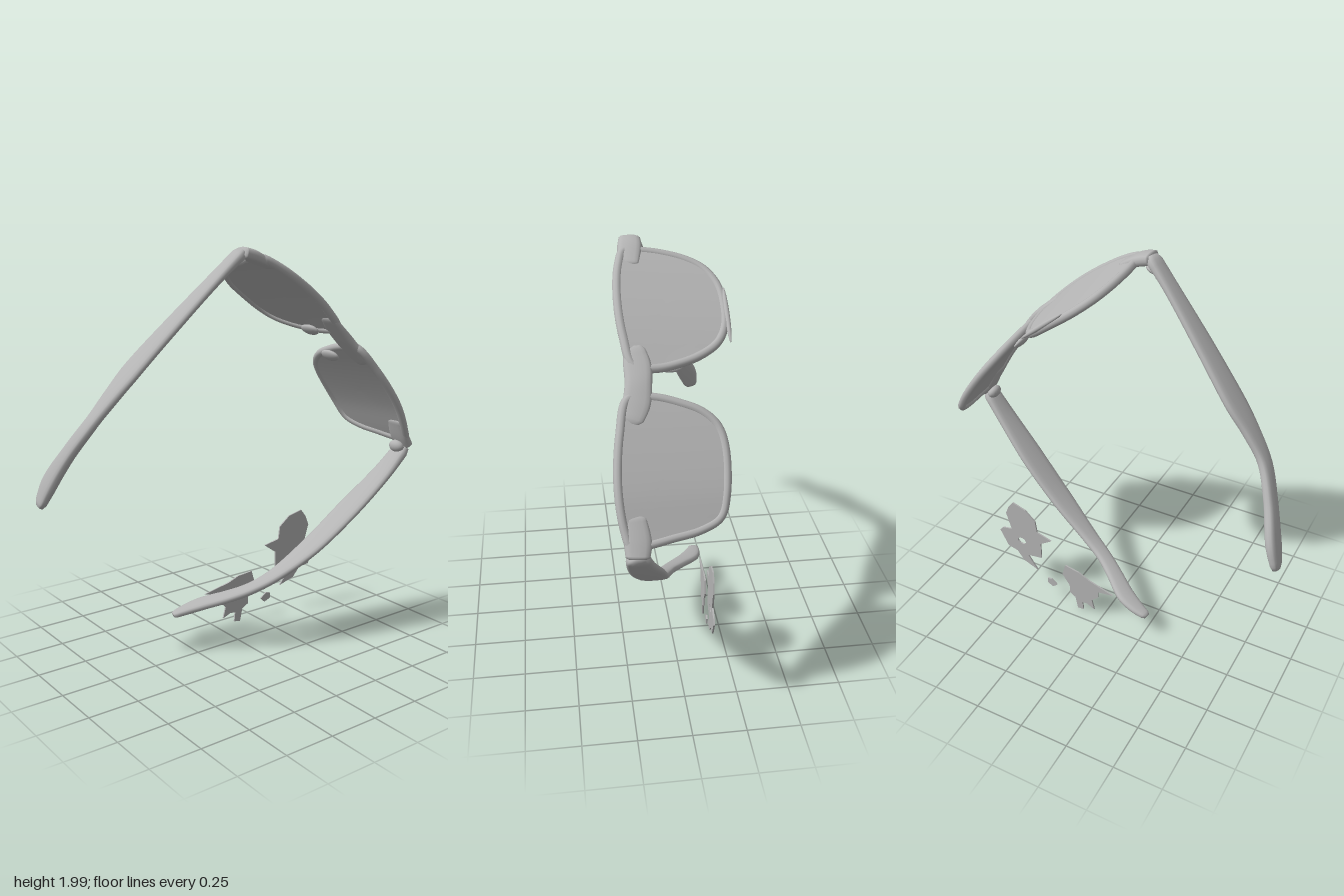
import * as THREE from 'three';

const V = (x, y, z = 0) => new THREE.Vector3(x, y, z);

export function createModel() {
  const group = new THREE.Group();
  const grey = new THREE.MeshStandardMaterial({ color: 0xb4b4b4, side: THREE.DoubleSide });
  grey.name = 'plain grey';

  const add = (name, geometry) => {
    const mesh = new THREE.Mesh(geometry, grey);
    mesh.name = name;
    group.add(mesh);
    return mesh;
  };

  // Brow line that the whole front of the spectacles wraps around
  const brow = new THREE.CatmullRomCurve3([
    V(-0.09, 1.985), V(0, 1.955), V(0.2, 1.83), V(0.37, 1.7), V(0.51, 1.565),
    V(0.66, 1.385), V(0.81, 1.175), V(0.89, 1.03), V(0.94, 0.945),
  ]);
  const browLength = brow.getLength();

  // Point on the front: s along the brow, z across it, off outward
  const onFront = (s, z, off = 0) => {
    const u = THREE.MathUtils.clamp(s / browLength, 0, 1);
    const p = brow.getPointAt(u);
    const t = brow.getTangentAt(u);
    const tilt = THREE.MathUtils.lerp(0.12, 0.07, THREE.MathUtils.smoothstep(s, 0.6, 0.9));
    const d = off - tilt * (0.29 - z);
    return V(p.x - t.y * d, p.y + t.x * d, z);
  };

  const grid = (pos, rows, cols) => {
    const index = [];
    for (let i = 0; i < rows - 1; i++) {
      for (let j = 0; j < cols; j++) {
        const k = (j + 1) % cols;
        const a = i * cols + j, b = i * cols + k, c = a + cols, d = b + cols;
        index.push(a, c, b, b, c, d);
      }
    }
    const g = new THREE.BufferGeometry();
    g.setAttribute('position', new THREE.Float32BufferAttribute(pos, 3));
    g.setIndex(index);
    g.computeVertexNormals();
    return g;
  };

  // Rounded bar through points [x, y, z, half width, half thickness]
  const bar = (name, pts, steps = 48, sides = 16) => {
    const path = new THREE.CatmullRomCurve3(pts.map((p) => V(p[0], p[1], p[2])));
    const size = new THREE.CatmullRomCurve3(pts.map((p) => V(p[3], p[4])));
    const pos = [];
    const round = (v) => Math.sign(v) * Math.pow(Math.abs(v), 0.7);
    for (let i = -1; i <= steps + 1; i++) {
      const u = THREE.MathUtils.clamp(i / steps, 0, 1);
      const capped = i < 0 || i > steps ? 0.001 : i === 0 || i === steps ? 0.75 : 1;
      const p = path.getPoint(u), t = path.getTangent(u), h = size.getPoint(u);
      const n = V(-t.y, t.x).normalize();
      const w = t.clone().cross(n);
      for (let j = 0; j < sides; j++) {
        const a = (j / sides) * Math.PI * 2;
        const q = p.clone()
          .addScaledVector(w, round(Math.cos(a)) * h.x * capped)
          .addScaledVector(n, round(Math.sin(a)) * h.y * capped);
        pos.push(q.x, q.y, q.z);
      }
    }
    return add(name, grid(pos, steps + 3, sides));
  };

  // Lens and rim from an outline of [s, z]
  const lens = (side, outline) => {
    const loop = new THREE.CatmullRomCurve3(outline.map(([s, z]) => V(s, z)), true);
    const edge = loop.getSpacedPoints(72).slice(0, 72);
    const mid = edge.reduce((m, p) => m.addScaledVector(p, 1 / 72), V(0, 0));
    const rim = new THREE.CatmullRomCurve3(edge.map((p) => onFront(p.x, p.y)), true);
    add(side + 'Rim', new THREE.TubeGeometry(rim, 120, 0.02, 10, true));
    for (const [face, off] of [['Front', 0.012], ['Back', -0.009]]) {
      const pos = [];
      for (let i = 0; i <= 8; i++) {
        const r = off > 0 ? Math.max(i / 8, 0.001) : Math.max(1 - i / 8, 0.001);
        for (const e of edge) {
          const q = onFront(mid.x + (e.x - mid.x) * r, mid.y + (e.y - mid.y) * r, off);
          pos.push(q.x, q.y, q.z);
        }
      }
      add(side + 'Lens' + face, grid(pos, 9, 72));
    }
  };
  lens('right', [
    [0.09, 0.1], [0.1, 0.02], [0.13, -0.08], [0.18, -0.16], [0.27, -0.215], [0.38, -0.23],
    [0.5, -0.22], [0.58, -0.18], [0.64, -0.1], [0.68, 0], [0.7, 0.1], [0.69, 0.19],
    [0.55, 0.225], [0.35, 0.235], [0.18, 0.215], [0.09, 0.18],
  ]);
  lens('left', [
    [0.83, 0.12], [0.86, 0.01], [0.9, -0.08], [0.96, -0.14], [1.05, -0.165], [1.26, -0.155],
    [1.35, -0.125], [1.395, -0.04], [1.42, 0.08], [1.44, 0.18], [1.45, 0.25],
    [1.38, 0.275], [1.2, 0.292], [0.98, 0.27], [0.83, 0.225],
  ]);

  // Bridge and end pieces, following the brow
  const frontBar = (name, list) => bar(name, list.map(([s, z, w, t]) => {
    const p = onFront(s, z);
    return [p.x, p.y, p.z, w, t];
  }), 20);
  frontBar('bridge', [[0.6, 0.185, 0.045, 0.016], [0.69, 0.175, 0.06, 0.022],
    [0.77, 0.178, 0.058, 0.026], [0.85, 0.19, 0.06, 0.022], [0.94, 0.22, 0.045, 0.016]]);
  frontBar('rightEndPiece', [[0, 0.15, 0.05, 0.028], [0.06, 0.155, 0.055, 0.028], [0.18, 0.17, 0.045, 0.014]]);
  frontBar('leftEndPiece', [[1.32, 0.23, 0.045, 0.014], [1.43, 0.225, 0.058, 0.026], [1.51, 0.23, 0.05, 0.028]]);

  // Temples with drooping ear tips
  bar('rightTemple', [
    [-0.085, 1.975, 0.15, 0.045, 0.026], [-0.2, 1.865, 0.115, 0.05, 0.02],
    [-0.4, 1.658, 0.05, 0.065, 0.02], [-0.58, 1.462, -0.01, 0.075, 0.021],
    [-0.68, 1.345, -0.035, 0.06, 0.022], [-0.77, 1.225, -0.07, 0.045, 0.022],
    [-0.84, 1.09, -0.15, 0.045, 0.024], [-0.9, 0.94, -0.237, 0.055, 0.026],
    [-0.94, 0.825, -0.275, 0.036, 0.018],
  ]);
  bar('leftTemple', [
    [0.925, 0.94, 0.23, 0.05, 0.028], [0.8, 0.808, 0.203, 0.063, 0.022],
    [0.6, 0.622, 0.15, 0.077, 0.02], [0.4, 0.452, 0.1, 0.07, 0.02],
    [0.2, 0.315, 0.04, 0.048, 0.02], [0.08, 0.255, -0.01, 0.042, 0.02],
    [-0.02, 0.215, -0.075, 0.045, 0.02], [-0.12, 0.18, -0.148, 0.05, 0.02],
    [-0.2, 0.156, -0.18, 0.04, 0.018], [-0.268, 0.138, -0.195, 0.024, 0.014],
  ]);

  // Hinges, nose pads and the ragged burr under the right lens
  const lump = (name, x, y, z, sx, sy, sz, turn) => {
    const m = add(name, new THREE.SphereGeometry(1, 16, 12));
    m.position.set(x, y, z);
    m.scale.set(sx, sy, sz);
    m.rotation.z = turn;
  };
  lump('rightHinge', -0.11, 1.925, 0.14, 0.045, 0.02, 0.04, 0.3);
  lump('leftHinge', 0.885, 0.945, 0.22, 0.03, 0.035, 0.045, 0.5);
  lump('rightNosePad', 0.43, 1.575, 0.03, 0.035, 0.018, 0.06, -0.75);
  lump('leftNosePad', 0.56, 1.435, 0.04, 0.035, 0.018, 0.06, -0.9);
  lump('lensBurr', 0.26, 1.725, -0.24, 0.14, 0.012, 0.012, -0.68);

  // Loose thin scraps beside the left temple
  const scrap = (name, outline, hole) => {
    const shape = new THREE.Shape(outline.map(([x, y]) => new THREE.Vector2(x, y)));
    if (hole) shape.holes.push(new THREE.Path().absellipse(hole[0], hole[1], 0.026, 0.02, 0, Math.PI * 2));
    const g = new THREE.ExtrudeGeometry(shape, { depth: 0.008, bevelEnabled: false, curveSegments: 6 });
    const p = g.attributes.position;
    for (let i = 0; i < p.count; i++) p.setZ(i, p.getZ(i) - 0.2 + 0.07 * p.getX(i));
    g.computeVertexNormals();
    add(name, g);
  };
  scrap('lowerScrap', [
    [-0.07, 0.2], [0.02, 0.18], [0.02, 0.14], [0.06, 0.1], [0.045, 0.04], [0.09, 0.06],
    [0.12, 0.055], [0.115, 0.005], [0.15, 0], [0.165, 0.07], [0.2, 0.09], [0.2, 0.14],
    [0.245, 0.2], [0.225, 0.27], [0.14, 0.26], [0.08, 0.235],
  ]);
  scrap('upperScrap', [
    [0.31, 0.4], [0.38, 0.35], [0.38, 0.25], [0.47, 0.23], [0.41, 0.15], [0.5, 0.18],
    [0.54, 0.23], [0.6, 0.24], [0.65, 0.33], [0.63, 0.355], [0.57, 0.37], [0.6, 0.47],
    [0.58, 0.52], [0.55, 0.56], [0.47, 0.54], [0.41, 0.49], [0.4, 0.42],
  ], [0.505, 0.315]);
  scrap('smallScrap', [[0.285, 0.1], [0.31, 0.075], [0.345, 0.09], [0.345, 0.12], [0.32, 0.125]]);

  return group;
}
